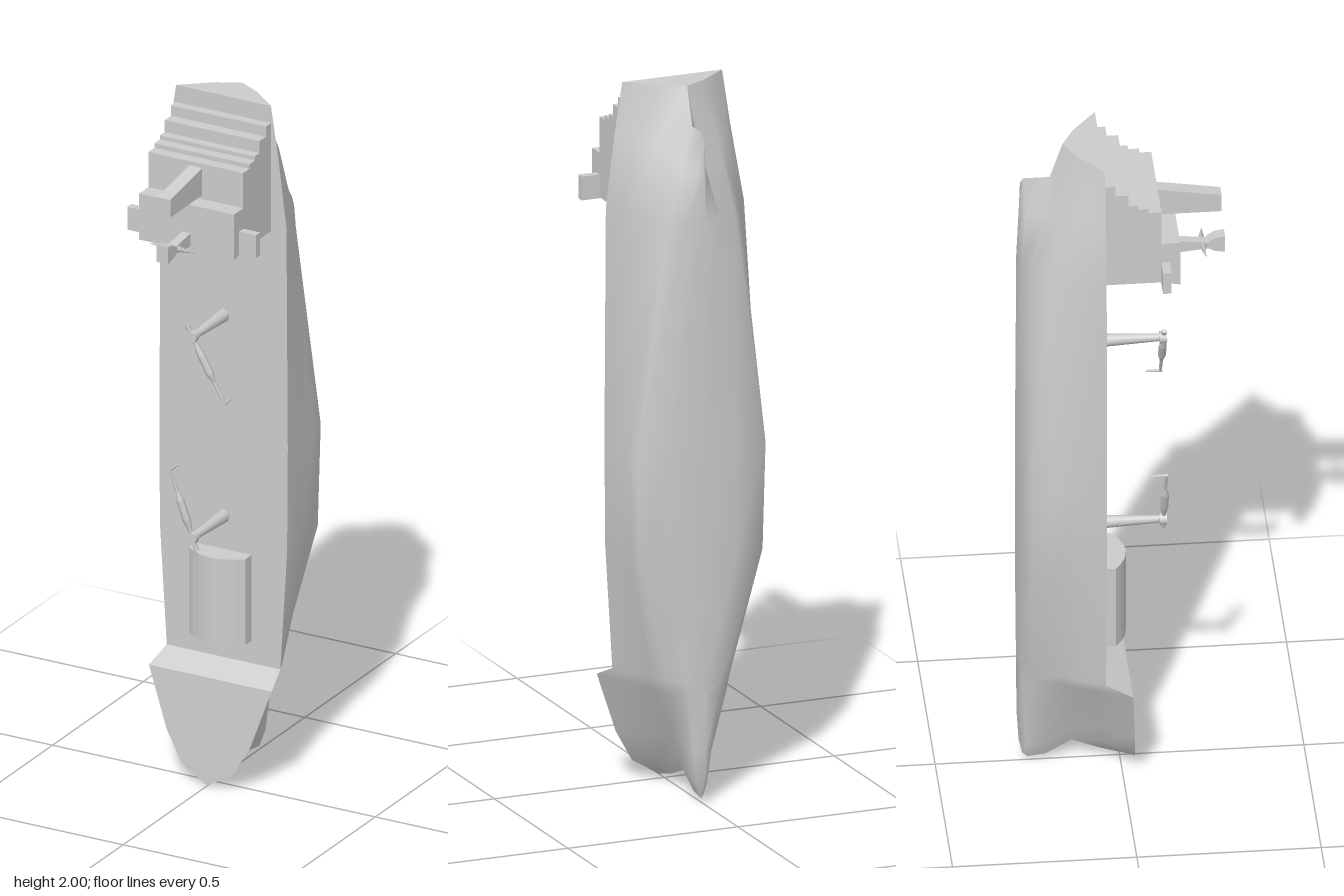
import * as THREE from 'three';

const grey = new THREE.MeshStandardMaterial({ color: 0xcccccc, side: THREE.DoubleSide });

function add(parent, name, geometry, x = 0, y = 0, z = 0) {
  const mesh = new THREE.Mesh(geometry, grey);
  mesh.name = name;
  mesh.position.set(x, y, z);
  parent.add(mesh);
  return mesh;
}

// Half sections from stern to bow: station, then x,z pairs from deck edge to keel
const sections = [
  [2.0, .147, -.053, .065, -.12, 0, -.155, 0, -.19, 0, -.262, 0, -.27],
  [1.85, .17, -.053, .137, -.115, .085, -.163, .03, -.2, .012, -.255, 0, -.274],
  [1.65, .195, -.053, .178, -.13, .133, -.205, .1, -.252, .05, -.27, 0, -.28],
  [1.0, .199, -.053, .196, -.13, .191, -.2, .188, -.254, .1, -.274, 0, -.284],
  [.7, .197, -.053, .192, -.13, .186, -.2, .18, -.252, .095, -.274, 0, -.284],
  [.35, .176, -.053, .15, -.115, .115, -.175, .09, -.235, .05, -.27, 0, -.281],
  [.315, .19, .02, .15, -.08, .108, -.16, .083, -.235, .045, -.268, 0, -.281],
  [.14, .13, .03, .075, -.06, .04, -.14, .037, -.22, .025, -.26, 0, -.279],
  [.05, .08, .035, .036, -.05, .013, -.13, .024, -.215, .016, -.255, 0, -.274],
  [0, 0, .037, 0, -.05, 0, -.13, 0, -.2, 0, -.25, 0, -.265],
];
// Height of each column where the hull ends
const sternEnd = [2, 2, 2, 1.895, 1.895, 1.88];
const bowEnd = [.005, .03, .062, .022, .015, .03];

function hullRows() {
  return sections.map(([s, ...p]) => sternEnd.map((top, j) => {
    let y = s;
    if (s > 1.65) y = THREE.MathUtils.mapLinear(s, 1.65, 2, 1.65, top);
    if (s < .315) y = THREE.MathUtils.mapLinear(s, .315, 0, .315, bowEnd[j]);
    return [p[2 * j], y, p[2 * j + 1]];
  }));
}

// Grid of points to a surface; rows must have equal length
function loft(rows) {
  const n = rows[0].length, index = [];
  for (let i = 0; i < rows.length - 1; i++) {
    for (let j = 0; j < n - 1; j++) {
      const a = i * n + j, b = a + n;
      index.push(a, b, a + 1, a + 1, b, b + 1);
    }
  }
  const g = new THREE.BufferGeometry();
  g.setAttribute('position', new THREE.Float32BufferAttribute(rows.flat(2), 3));
  g.setIndex(index);
  return g;
}

// Outline in z,y extruded across the beam
function acrossBeam(points, width) {
  const shape = new THREE.Shape(points.map(([z, y]) => new THREE.Vector2(z, y)));
  const g = new THREE.ExtrudeGeometry(shape, { depth: width, bevelEnabled: false });
  return g.translate(0, 0, -width / 2).rotateY(-Math.PI / 2);
}

// Cylinder between two points
function rod(parent, name, from, to, r0, r1, sides = 8) {
  const a = new THREE.Vector3(...from), b = new THREE.Vector3(...to);
  const dir = b.clone().sub(a);
  const mesh = add(parent, name, new THREE.CylinderGeometry(r1, r0, dir.length(), sides));
  mesh.position.copy(a).add(b).multiplyScalar(.5);
  mesh.quaternion.setFromUnitVectors(new THREE.Vector3(0, 1, 0), dir.normalize());
  return mesh;
}

// Deck crane: tapered post, boom with a thick middle, hook at the tip
function crane(y, heel, tip) {
  const g = new THREE.Group();
  g.name = 'deckCrane';
  const z = .12;
  const at = t => [heel[0] + (tip[0] - heel[0]) * t, heel[1] + (tip[1] - heel[1]) * t, z];
  rod(g, 'cranePost', [0, y, -.055], [0, y, z], .019, .01);
  rod(g, 'craneHead', [0, y, z - .012], [0, y, z + .008], .017, .017);
  rod(g, 'boomHeel', at(0), at(.25), .007, .005, 6);
  rod(g, 'boomLower', at(.22), at(.38), .005, .011, 6);
  rod(g, 'boomMiddle', at(.38), at(.62), .011, .011, 6);
  rod(g, 'boomUpper', at(.62), at(.72), .011, .005, 6);
  rod(g, 'boomTip', at(.7), at(1), .005, .004, 6);
  rod(g, 'hook', [tip[0], tip[1], z + .005], [tip[0], tip[1], .082], .005, .003, 6);
  return g;
}

export function createModel() {
  const ship = new THREE.Group();
  ship.name = 'ship';

  // Hull shell, mirrored about the keel
  const half = hullRows();
  const rows = half.map(r => [...r, ...r.slice(0, -1).reverse().map(([x, y, z]) => [-x, y, z])]);
  const hull = loft(rows);
  hull.computeVertexNormals();
  add(ship, 'hull', hull);

  // Transom, main deck and raised foredeck as one strip over the hull edge
  const edge = [half[0][2], half[0][1], ...half.map(r => r[0])];
  const deck = loft(edge.map(([x, y, z]) => [[-x, y, z], [x, y, z]])).toNonIndexed();
  deck.computeVertexNormals();
  add(ship, 'deck', deck);

  // Stepped deckhouse
  add(ship, 'deckhouse', acrossBeam([
    [-.06, 1.95], [-.025, 1.95], [-.025, 1.92], [.01, 1.92], [.01, 1.885], [.036, 1.885],
    [.036, 1.873], [.066, 1.873], [.066, 1.86], [.1, 1.86], [.1, 1.757], [.151, 1.757],
    [.151, 1.622], [.1, 1.632], [-.06, 1.632],
  ], .294));
  for (const s of [-1, 1]) {
    add(ship, 'bridgeWing', new THREE.BoxGeometry(.055, .067, .023), s * .172, 1.663, .111);
  }

  // Funnel
  add(ship, 'funnel', acrossBeam([[.09, 1.85], [.275, 1.82], [.275, 1.768], [.09, 1.768]], .04));

  // Mast with yards and lookout box
  add(ship, 'mast', acrossBeam([[.14, 1.675], [.255, 1.662], [.255, 1.645], [.14, 1.635]], .026));
  add(ship, 'lookout', acrossBeam(
    [[.235, 1.665], [.258, 1.68], [.285, 1.684], [.285, 1.634], [.258, 1.638], [.235, 1.65]], .036));
  for (const s of [-1, 1]) {
    rod(ship, 'yard', [0, 1.656, .222], [s * .068, 1.656, .228], .012, .001, 4);
  }

  // Cargo hatch with an arched cover
  const cover = new THREE.Shape();
  cover.moveTo(-.087, .06);
  cover.lineTo(-.087, .018);
  cover.quadraticCurveTo(0, -.052, .087, .018);
  cover.lineTo(.087, .06);
  const hatch = new THREE.ExtrudeGeometry(cover, { depth: .252, bevelEnabled: false, curveSegments: 8 });
  add(ship, 'hatch', hatch.rotateX(-Math.PI / 2), 0, .416, 0);

  // Cranes
  ship.add(crane(.765, [.015, .73], [-.068, .95]));
  ship.add(crane(1.355, [-.015, 1.385], [.1, 1.18]));
  return ship;
}
